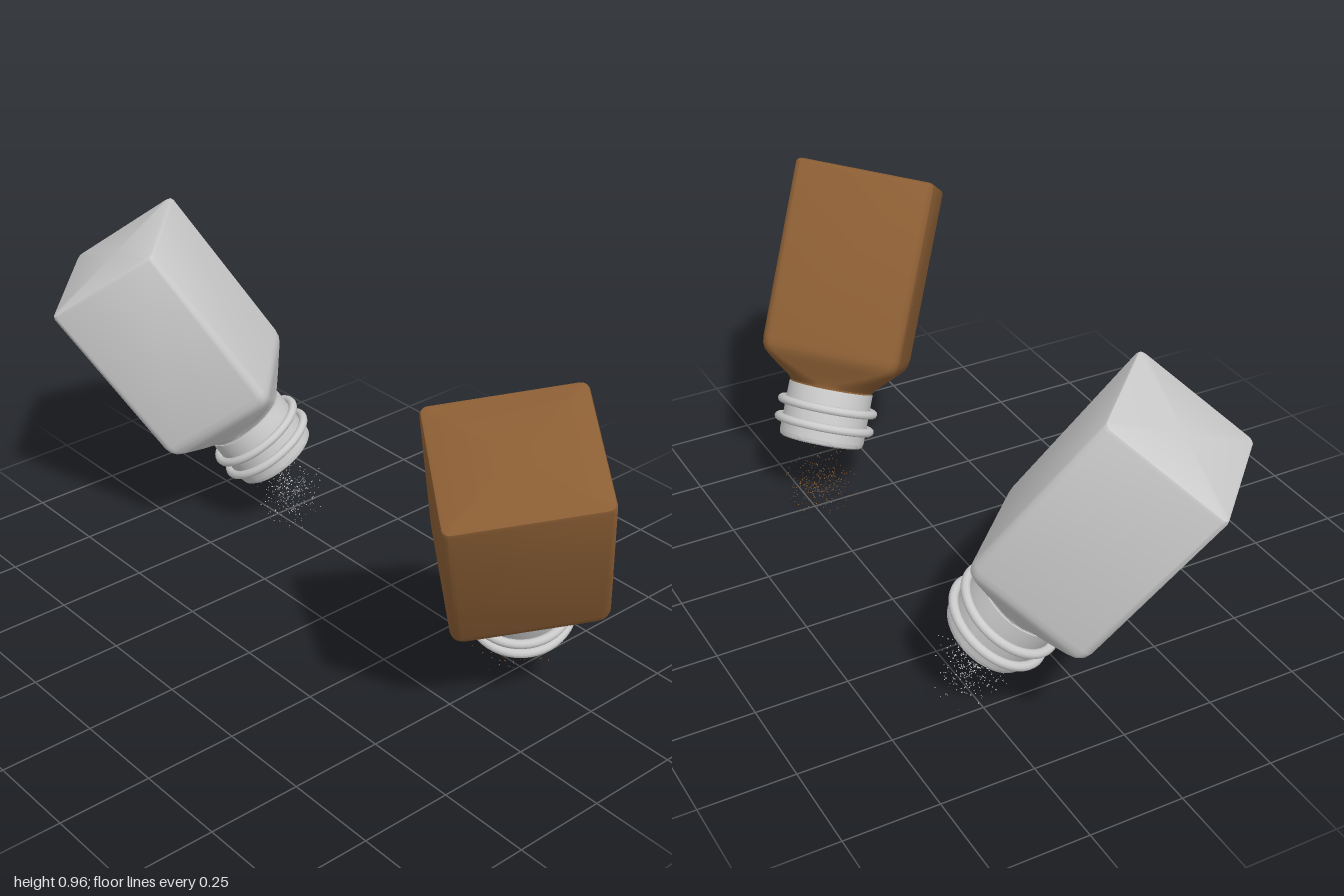
import * as THREE from 'three';
import { mergeGeometries, toCreasedNormals } from 'three/addons/utils/BufferGeometryUtils.js';

const grey = new THREE.MeshStandardMaterial({ color: 0xcccccc });
const brown = new THREE.MeshStandardMaterial({ color: 0x8b5e34 });

function mesh(name, geometry, material) {
  const m = new THREE.Mesh(geometry, material);
  m.name = name;
  return m;
}

// Rounded-rectangle sections [y, half width, half depth, corner radius];
// y runs from the flat base towards the neck.
const SECTIONS = [
  [0, 0.180, 0.159, 0.012], [0.004, 0.189, 0.168, 0.018], [0.012, 0.192, 0.171, 0.02],
  [0.495, 0.192, 0.171, 0.025], [0.514, 0.190, 0.169, 0.028], [0.529, 0.184, 0.163, 0.03],
  [0.541, 0.174, 0.154, 0.035], [0.572, 0.144, 0.135, 0.07], [0.594, 0.123, 0.121, 0.108],
  [0.604, 0.117, 0.117, 0.1165], [0.62, 0.116, 0.116, 0.1155],
];

function bodyGeometry() {
  const steps = 6, ring = 4 * (steps + 1);
  const pos = [], index = [];
  for (const [y, hw, hd, r] of SECTIONS) {
    for (let k = 0; k < 4; k++) {
      const sx = k === 0 || k === 3 ? 1 : -1, sz = k < 2 ? 1 : -1;
      for (let j = 0; j <= steps; j++) {
        const a = (k + j / steps) * Math.PI / 2;
        pos.push(sx * (hw - r) + r * Math.cos(a), y, sz * (hd - r) + r * Math.sin(a));
      }
    }
  }
  for (let s = 0; s < SECTIONS.length - 1; s++) {
    for (let i = 0; i < ring; i++) {
      const n = (i + 1) % ring, a = s * ring, b = a + ring;
      index.push(a + i, b + i, a + n, a + n, b + i, b + n);
    }
  }
  // Flat base
  const centre = pos.length / 3;
  pos.push(0, 0, 0);
  for (let i = 0; i < ring; i++) index.push(centre, i, (i + 1) % ring);
  const g = new THREE.BufferGeometry();
  g.setAttribute('position', new THREE.Float32BufferAttribute(pos, 3));
  g.setIndex(index);
  return toCreasedNormals(g, 0.55);
}

// Cap: collar, two raised rings and a perforated end plate
function makeCap() {
  const cap = new THREE.Group();
  cap.name = 'cap';
  const profile = [[0.112, 0.607], [0.119, 0.609], [0.12, 0.75], [0.118, 0.759], [0.112, 0.764], [0.104, 0.765]]
    .map(([r, y]) => new THREE.Vector2(r, y));
  cap.add(mesh('capCollar', toCreasedNormals(new THREE.LatheGeometry(profile, 48), 0.7), grey));

  for (const y of [0.662, 0.713]) {
    const ring = mesh('capRing', new THREE.TorusGeometry(0.13, 0.012, 10, 48).rotateX(Math.PI / 2), grey);
    ring.position.y = y;
    cap.add(ring);
  }

  const plate = new THREE.Shape().absarc(0, 0, 0.106, 0, Math.PI * 2);
  for (const [count, radius] of [[1, 0], [6, 0.042], [12, 0.082]]) {
    for (let i = 0; i < count; i++) {
      const a = i / count * Math.PI * 2;
      plate.holes.push(new THREE.Path().absarc(radius * Math.cos(a), radius * Math.sin(a), 0.009, 0, Math.PI * 2, true));
    }
  }
  const plateGeo = new THREE.ExtrudeGeometry(plate, { depth: 0.008, bevelEnabled: false, curveSegments: 16 });
  const end = mesh('perforatedPlate', plateGeo.rotateX(-Math.PI / 2), grey);
  end.position.y = 0.757;
  cap.add(end);

  const back = mesh('plateBacking', new THREE.CylinderGeometry(0.105, 0.105, 0.006, 32), grey);
  back.position.y = 0.754;
  cap.add(back);
  return cap;
}

// Shaker whose base centre, width direction and pouring direction are given
function makeShaker(name, material, base, width, pour) {
  const g = new THREE.Group();
  g.name = name;
  g.add(mesh('shakerBody', bodyGeometry(), material), makeCap());
  const y = new THREE.Vector3(...pour).normalize();
  const z = new THREE.Vector3(...width).cross(y).normalize();
  const x = new THREE.Vector3().crossVectors(y, z);
  g.quaternion.setFromRotationMatrix(new THREE.Matrix4().makeBasis(x, y, z));
  g.position.set(...base);
  return g;
}

// Cloud of tiny grains falling from a cap
function makeGrains(name, material, centre, seed) {
  let s = seed;
  const rand = () => (s = (s * 16807) % 2147483647) / 2147483647;
  const bell = () => rand() + rand() + rand() - 1.5;
  const grains = [];
  for (let i = 0; i < 320; i++) {
    const size = 0.0015 + 0.0012 * rand();
    const x = centre[0] + 0.075 * bell();
    const y = Math.max(0.002, centre[1] + 0.08 * bell());
    const z = centre[2] + 0.075 * bell();
    grains.push(new THREE.TetrahedronGeometry(size).rotateX(rand() * 6).rotateY(rand() * 6).translate(x, y, z));
  }
  return mesh(name, mergeGeometries(grains), material);
}

export function createModel() {
  const model = new THREE.Group();
  model.name = 'shakerPair';
  model.add(
    makeShaker('saltShaker', grey, [-0.764, 0.836, 0.103], [0.715, -0.05, 0.698], [0.371, -0.82, -0.439]),
    makeShaker('pepperShaker', brown, [0.758, 0.859, 0.084], [0.591, 0.145, -0.793], [-0.301, -0.872, -0.384]),
    makeGrains('saltGrains', grey, [-0.45, 0.1, -0.25], 4711),
    makeGrains('pepperGrains', brown, [0.475, 0.09, -0.24], 1234),
  );
  return model;
}
